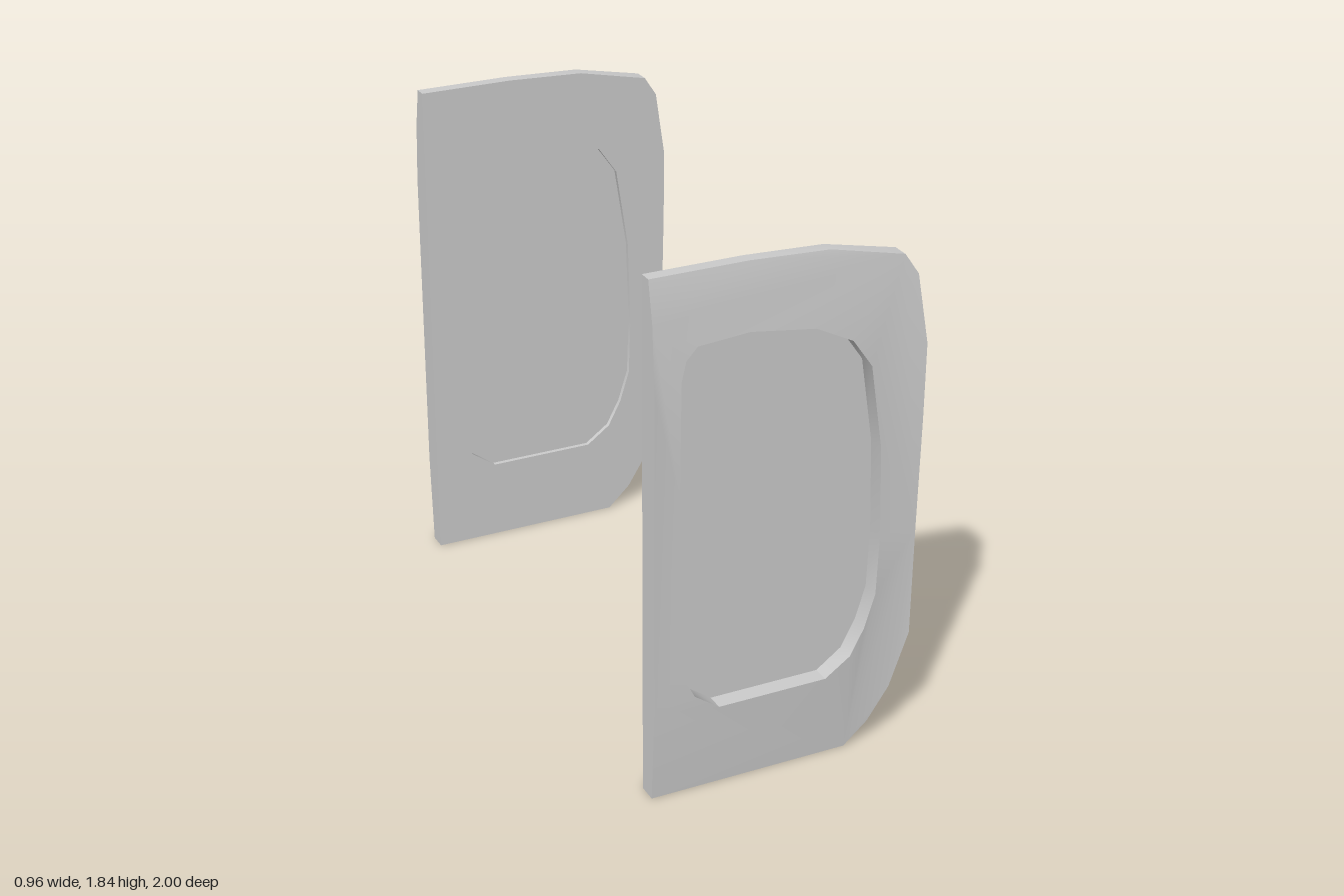
import * as THREE from 'three';
import { toCreasedNormals } from 'three/addons/utils/BufferGeometryUtils.js';

const INNER = 0.912; // flat inner face of each door

// Door silhouette; the straight edge carries extra points where the skin bends
const OUTLINE = [
  [-0.48, 0], [0.24, 0], [0.325, 0.08], [0.4, 0.2], [0.465, 0.4], [0.47, 0.8],
  [0.478, 1.2], [0.48, 1.46], [0.445, 1.7], [0.4, 1.77], [0.14, 1.827],
  [-0.14, 1.84], [-0.48, 1.84], [-0.48, 1.7], [-0.48, 1.48], [-0.48, 0.34],
];

// Opening for the recessed panel
const OPENING = [
  [-0.397, 0.485], [-0.335, 0.365], [-0.245, 0.3], [0.15, 0.3], [0.24, 0.365],
  [0.29, 0.46], [0.328, 0.58], [0.336, 0.8], [0.326, 1.12], [0.28, 1.42],
  [0.21, 1.52], [0.08, 1.585], [-0.15, 1.618], [-0.33, 1.605], [-0.37, 1.565],
  [-0.388, 1.5], [-0.392, 1.1],
];

// Distance of the outer skin from the centre plane, by height
const SKIN = [[0, 0.979], [0.34, 1], [1.48, 1], [1.7, 0.985], [1.77, 0.973], [1.84, 0.957]];

function skinDepth(y) {
  for (let i = 1; i < SKIN.length; i++) {
    const [y0, d0] = SKIN[i - 1];
    const [y1, d1] = SKIN[i];
    if (y <= y1) return THREE.MathUtils.mapLinear(y, y0, y1, d0, d1);
  }
  return SKIN[SKIN.length - 1][1];
}

const toPoints = (list) => list.map(([x, y]) => new THREE.Vector2(x, y));

// Extrude a shape, then place its two faces at the given inner and outer depths
function slab(shape, side, inner, outerAt) {
  const geometry = new THREE.ExtrudeGeometry(shape, { depth: 1, bevelEnabled: false });
  const p = geometry.attributes.position;
  for (let i = 0; i < p.count; i++) {
    const isOuter = (p.getZ(i) > 0.5) === (side > 0);
    p.setZ(i, side * (isOuter ? outerAt(p.getY(i)) : inner));
  }
  return toCreasedNormals(geometry, 0.6);
}

function createDoor(side, name, material) {
  const door = new THREE.Group();
  door.name = name;

  // Curved frame with the opening cut through
  const frameShape = new THREE.Shape(toPoints(OUTLINE));
  frameShape.holes.push(new THREE.Path(toPoints(OPENING)));
  const frame = new THREE.Mesh(slab(frameShape, side, INNER, skinDepth), material);
  frame.name = 'doorFrame';

  // Thin panel set deep behind the skin
  const paneShape = new THREE.Shape(toPoints(OPENING));
  const pane = new THREE.Mesh(slab(paneShape, side, 0.929, () => 0.936), material);
  pane.name = 'recessedPanel';

  door.add(frame, pane);
  return door;
}

export function createModel() {
  const model = new THREE.Group();
  model.name = 'doorPair';
  const material = new THREE.MeshStandardMaterial({ color: 0xcccccc });
  model.add(createDoor(1, 'leftDoor', material), createDoor(-1, 'rightDoor', material));
  return model;
}
